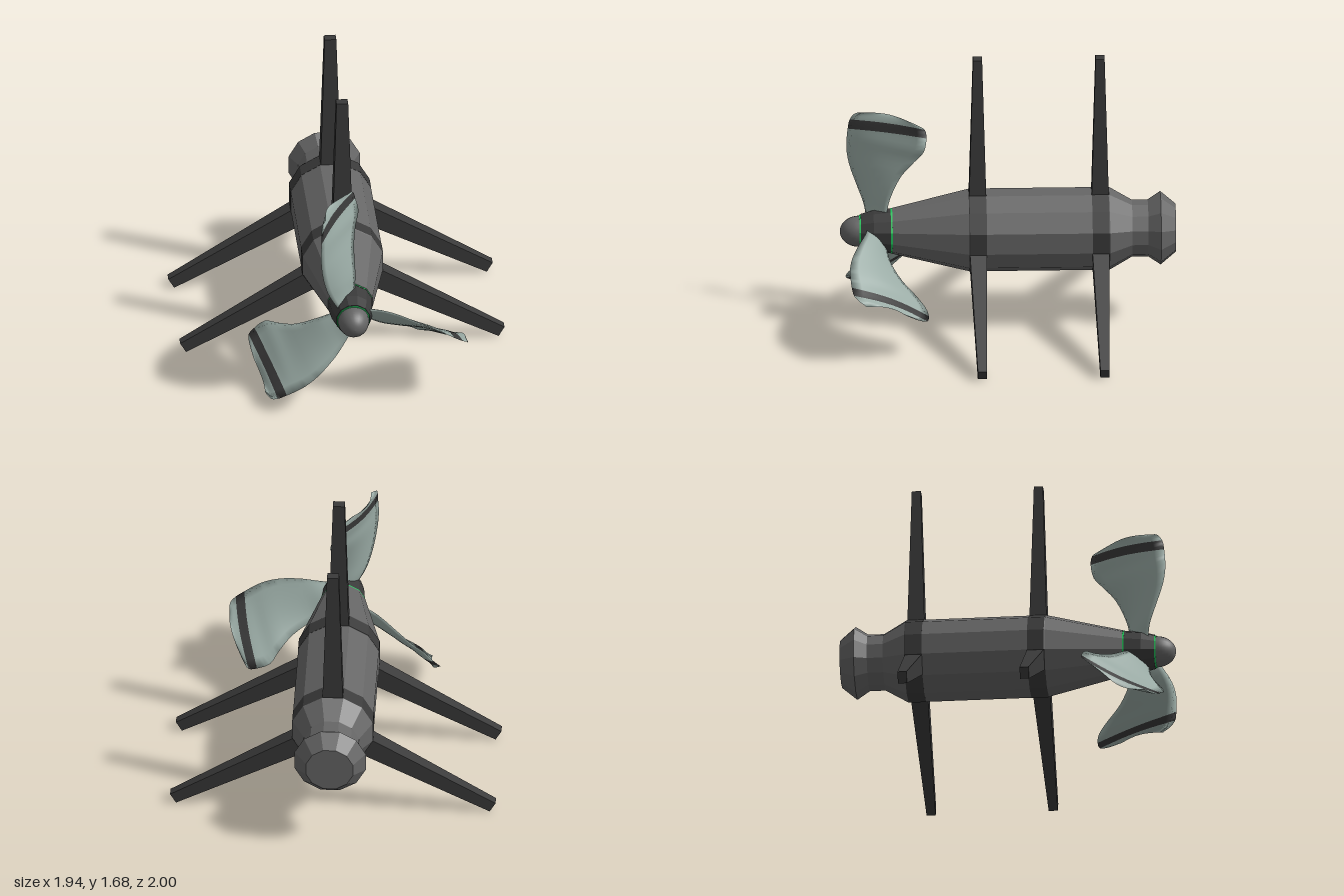
import * as THREE from 'three';

const AXIS_Y = 0.58;

function mat(name, color, side = THREE.FrontSide) {
  const m = new THREE.MeshStandardMaterial({ color, side });
  m.name = name;
  return m;
}

// Faceted or smooth body of revolution along z; points are [radius, z] with z rising
function turned(name, points, material, sides = 12, flat = true) {
  const k = flat ? 1 / Math.cos(Math.PI / sides) : 1;
  const profile = points.map(([r, z]) => new THREE.Vector2(r * k, z));
  let geo = new THREE.LatheGeometry(profile, sides, Math.PI / sides);
  geo.rotateX(Math.PI / 2);
  if (flat) {
    geo = geo.toNonIndexed();
    geo.computeVertexNormals();
  }
  const mesh = new THREE.Mesh(geo, material);
  mesh.name = name;
  return mesh;
}

// Tapered square strut pointing up from the axis
function strutGeometry() {
  const r0 = 0.2, r1 = 1.1;
  const geo = new THREE.BoxGeometry(2, r1 - r0, 2).translate(0, (r0 + r1) / 2, 0);
  const p = geo.attributes.position;
  for (let i = 0; i < p.count; i++) {
    const tip = p.getY(i) > 0.6;
    p.setX(i, p.getX(i) * (tip ? 0.035 : 0.062));
    p.setZ(i, p.getZ(i) * (tip ? 0.027 : 0.052));
  }
  const flat = geo.toNonIndexed();
  flat.computeVertexNormals();
  return flat;
}

// Twisted blade lofted between its leading and trailing edges, with a painted band
function bladeGeometry() {
  const lead = [[-0.08, 0.05, 0.84], [-0.125, 0.13, 0.855], [-0.16, 0.22, 0.89], [-0.19, 0.36, 0.94],
    [-0.2, 0.46, 0.955], [-0.2, 0.53, 0.952], [-0.197, 0.58, 0.947], [-0.195, 0.64, 0.935],
    [-0.19, 0.68, 0.905], [-0.16, 0.698, 0.86]];
  const trail = [[0.02, 0.05, 0.73], [0.025, 0.13, 0.72], [0.03, 0.22, 0.7], [0.028, 0.36, 0.635],
    [0.045, 0.46, 0.555], [0.068, 0.53, 0.502], [0.05, 0.61, 0.485], [0.035, 0.66, 0.495],
    [0.005, 0.678, 0.54], [-0.06, 0.692, 0.62]];
  const curve = (a) => new THREE.CatmullRomCurve3(a.map((v) => new THREE.Vector3(...v)));
  const front = curve(lead), rear = curve(trail);
  const spans = lead.length - 1, sub = 3, rows = spans * sub, across = 8, loop = across * 2;
  const pos = [], idx = [];
  const up = new THREE.Vector3(0, 1, 0);
  for (let i = 0; i <= rows; i++) {
    const t = i / rows;
    const f = front.getPoint(t), b = rear.getPoint(t);
    const normal = b.clone().sub(f).cross(up).normalize();
    const half = 0.02 * (1 - t) ** 0.8, camber = -0.035 * t;
    for (let j = 0; j < loop; j++) {
      const s = j <= across ? j / across : 2 - j / across;
      const bulge = Math.sin(Math.PI * s);
      const v = f.clone().lerp(b, s)
        .addScaledVector(normal, bulge * (camber + (j <= across ? half : -half)));
      pos.push(v.x, v.y, v.z);
    }
  }
  for (let i = 0; i < rows; i++) {
    for (let j = 0; j < loop; j++) {
      const a = i * loop + j, b = i * loop + (j + 1) % loop;
      idx.push(a, b, b + loop, a, b + loop, a + loop);
    }
  }
  const geo = new THREE.BufferGeometry();
  geo.setAttribute('position', new THREE.Float32BufferAttribute(pos, 3));
  geo.setIndex(idx);
  geo.computeVertexNormals();
  const perRow = loop * 6, b0 = 6 * sub * perRow, b1 = 7 * sub * perRow;
  geo.addGroup(0, b0, 0);
  geo.addGroup(b0, b1 - b0, 1);
  geo.addGroup(b1, idx.length - b1, 0);
  return geo;
}

export function createModel() {
  const model = new THREE.Group();
  model.name = 'turbine';
  const grey = mat('body grey', 0x666666);
  const dark = mat('dark grey', 0x3a3a3a);
  const pale = mat('blade grey green', 0x9aaba5);
  const green = mat('green accent', 0x1fc45a);

  const body = new THREE.Group();
  body.name = 'body';
  body.position.y = AXIS_Y;
  model.add(body);

  // Hull, from tail to nose
  body.add(
    turned('tailKnob', [[0, -1], [0.14, -1], [0.213, -0.91], [0.165, -0.835]], grey),
    turned('tailNeck', [[0.165, -0.84], [0.165, -0.74], [0.24, -0.605]], grey),
    turned('rearBand', [[0.24, -0.605], [0.241, -0.6], [0.241, -0.5], [0.24, -0.5]], dark),
    turned('hull', [[0.24, -0.5], [0.24, 0.13]], grey),
    turned('frontBand', [[0.24, 0.13], [0.241, 0.13], [0.241, 0.23], [0.238, 0.235]], dark),
    turned('frontCone', [[0.239, 0.232], [0.133, 0.688], [0, 0.688]], grey),
    turned('rearAccentRing', [[0.131, 0.685], [0.131, 0.698]], green),
    turned('hub', [[0, 0.698], [0.13, 0.698], [0.12, 0.8], [0.1, 0.876], [0, 0.876]], dark),
    turned('frontAccentRing', [[0.096, 0.874], [0.095, 0.885], [0, 0.885]], green),
  );

  // Rounded nose
  const dome = [];
  for (let i = 0; i <= 10; i++) {
    const a = (i / 10) * Math.PI / 2;
    dome.push([0.093 * Math.cos(a), 0.884 + 0.116 * Math.sin(a)]);
  }
  body.add(turned('nose', dome, grey, 24, false));

  // Two sets of three support struts, and three blades
  const strut = strutGeometry(), blade = bladeGeometry();
  for (let i = 0; i < 3; i++) {
    const turn = (i * Math.PI * 2) / 3;
    for (const [name, z] of [['frontStrut', 0.18], ['rearStrut', -0.55]]) {
      const s = new THREE.Mesh(strut, dark);
      s.name = name + (i + 1);
      s.position.z = z;
      s.rotation.z = turn;
      body.add(s);
    }
    const b = new THREE.Mesh(blade, [pale, dark]);
    b.name = 'blade' + (i + 1);
    b.rotation.z = turn;
    body.add(b);
  }
  return model;
}
